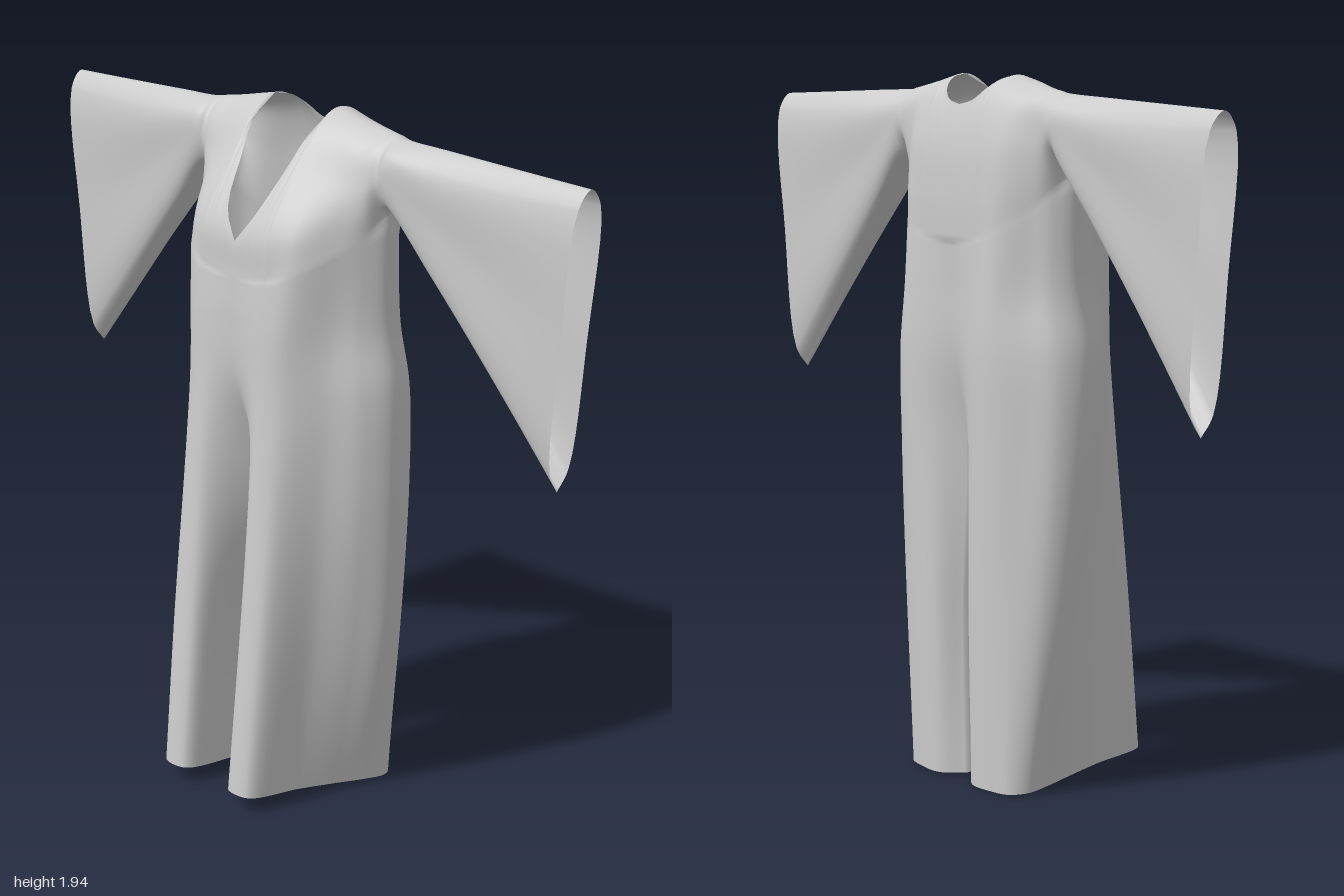
import * as THREE from 'three';

const fabric = new THREE.MeshStandardMaterial({ color: 0xcccccc, side: THREE.DoubleSide });
const V = (x, y, z) => new THREE.Vector3(x, y, z);
const lerp = THREE.MathUtils.lerp;

// Sample a smooth curve through points, hitting every control point.
function smooth(points, perSpan) {
  return new THREE.CatmullRomCurve3(points).getPoints((points.length - 1) * perSpan);
}

// Refine a coarse net of control points in both directions.
function refine(rows, perRow, perCol) {
  const wide = rows.map((r) => smooth(r, perCol));
  const columns = wide[0].map((_, j) => smooth(wide.map((r) => r[j]), perRow));
  return columns[0].map((_, i) => columns.map((c) => c[i]));
}

// Turn a grid of points into a cloth panel.
function panel(name, grid, flip = false) {
  const n = grid[0].length, index = [];
  for (let i = 0; i < grid.length - 1; i++) {
    for (let j = 0; j < n - 1; j++) {
      const a = i * n + j, b = a + 1, c = a + n, d = c + 1;
      if (flip) index.push(a, b, c, b, d, c);
      else index.push(a, c, b, b, c, d);
    }
  }
  const g = new THREE.BufferGeometry().setFromPoints(grid.flat());
  g.setIndex(index);
  g.computeVertexNormals();
  const mesh = new THREE.Mesh(g, fabric);
  mesh.name = name;
  return mesh;
}

// Share normals where panels meet, and level them on the centre seam.
function blendSeams(meshes) {
  const sums = new Map();
  const visit = (fn) => meshes.forEach(({ geometry: { attributes: { position, normal } } }) => {
    for (let i = 0; i < position.count; i++) {
      const p = V(0, 0, 0).fromBufferAttribute(position, i);
      fn(p.toArray().map((v) => Math.round(v * 1e4)).join(), p, normal, i);
    }
  });
  visit((key, p, normal, i) => {
    if (!sums.has(key)) sums.set(key, V(0, 0, 0));
    sums.get(key).add(V(0, 0, 0).fromBufferAttribute(normal, i));
  });
  visit((key, p, normal, i) => {
    const v = sums.get(key).clone().normalize();
    if (Math.abs(p.x) < 1e-4 && Math.abs(v.x) < .8) v.setX(0).normalize();
    normal.setXYZ(i, v.x, v.y, v.z);
  });
}

// Half outlines [x, z] from centre front round the side to centre back.
const outlines = [
  { y: 1.5, p: [[0, .145], [.125, .145], [.2, .122], [.28, .025], [.32, -.04], [.342, -.1],
    [.32, -.155], [.28, -.197], [.2, -.262], [.125, -.27], [0, -.265]] },
  { y: 1.38, p: [[0, .148], [.12, .156], [.19, .135], [.27, .035], [.318, -.025], [.345, -.095],
    [.325, -.16], [.28, -.205], [.2, -.272], [.12, -.275], [0, -.257]] },
  { y: 1.2, p: [[0, .135], [.11, .163], [.18, .145], [.272, .052], [.34, -.01], [.376, -.085],
    [.358, -.165], [.3, -.22], [.2, -.282], [.12, -.28], [0, -.248]] },
  { y: .94, p: [[0, .05], [.1, .178], [.178, .17], [.262, .055], [.335, -.015], [.376, -.095],
    [.358, -.172], [.295, -.225], [.2, -.276], [.1, -.268], [0, -.2]] },
  { y: .5, p: [[.07, .05], [.095, .215], [.18, .215], [.235, .06], [.292, -.035], [.335, -.12],
    [.32, -.185], [.26, -.235], [.18, -.265], [.08, -.26], [.025, -.2]] },
  { y: 0, p: [[.08, .05], [.092, .258], [.175, .258], [.203, .09], [.23, -.03], [.252, -.12],
    [.26, -.19], [.23, -.235], [.17, -.25], [.08, -.25], [.015, -.2]] },
];

// Shoulder sections [z, y] from chest over the shoulder to the back.
const shoulders = [
  { x: .125, p: [[.145, 1.5], [.135, 1.63], [.03, 1.8], [-.05, 1.905], [-.12, 1.94],
    [-.2, 1.91], [-.255, 1.78], [-.27, 1.63], [-.27, 1.5]] },
  { x: .2, p: [[.122, 1.533], [.1, 1.64], [.01, 1.78], [-.055, 1.885], [-.12, 1.925],
    [-.195, 1.89], [-.24, 1.78], [-.258, 1.64], [-.262, 1.533]] },
  { x: .28, p: [[.025, 1.59], [.01, 1.68], [-.02, 1.77], [-.058, 1.86], [-.13, 1.908],
    [-.185, 1.872], [-.203, 1.78], [-.203, 1.68], [-.197, 1.59]] },
  { x: .32, p: [[-.04, 1.64], [-.032, 1.7], [-.036, 1.77], [-.062, 1.855], [-.13, 1.901],
    [-.185, 1.862], [-.195, 1.78], [-.178, 1.7], [-.155, 1.64]] },
  { x: .342, p: [[-.1, 1.685], [-.068, 1.72], [-.048, 1.775], [-.066, 1.85], [-.13, 1.897],
    [-.185, 1.858], [-.193, 1.78], [-.15, 1.72], [-.1, 1.685]] },
];

// Slanted sleeve ring: s = 0 at the armpit, 1 at the cuff.
function sleeveRing(s) {
  const top = V(lerp(.37, 1, s), lerp(1.893, 1.868, s), 0);
  const bottom = V(lerp(.365, .92, s), lerp(1.693, 1.055, s), 0);
  const front = lerp(-.043, -.095, s), back = -.195;
  const mid = (front + back) / 2, half = (front - back) / 2;
  const low = lerp(.14, .07, s), high = lerp(.82, .94, s);
  const belly = lerp(1, .85, Math.sin(Math.PI * s));
  const side = [[0, 0], [low, .72], [.5, belly], [high, .85], [1, 0],
    [high, -.85], [.5, -belly], [low, -.72], [0, 0]];
  return side.map(([h, w]) => bottom.clone().lerp(top, h).setZ(mid + w * half));
}

function halfGarment() {
  // Shoulder running out into the wide hanging sleeve
  const stations = shoulders.map(({ x, p }) => p.map(([z, y]) => V(x, y, z)));
  for (const s of [0, .25, .5, .75, 1]) stations.push(sleeveRing(s));
  const sleeve = refine(stations, 12, 6);

  // Chest and back panels, trimmed along the V neckline
  const profile = new THREE.CatmullRomCurve3(stations[0]);
  const neck = [[0, .09, .18], [.055, .155, .168], [.09, .24, .135], [.113, .34, .075], [.125, .5, 0]];
  const cut = (x, from, to) => Array.from({ length: 9 }, (_, i) =>
    profile.getPoint(lerp(from, to, i / 8)).setX(x));
  const chest = refine(neck.map(([x, f]) => cut(x, 0, f)), 3, 3);
  const back = refine(neck.map(([x, , b]) => cut(x, .5 + b, 1)), 3, 3);
  chest[12] = sleeve[0].slice(0, 25);
  back[12] = sleeve[0].slice(24);

  // Torso and outer leg, sewn to the bottom edge of the panels above
  const body = refine(outlines.map(({ y, p }) => p.map(([x, z]) => {
    let h = y;
    if (y === 1.5) h += .18 * (x / .342) ** 3;
    if (y === 0) h = .05 * Math.max(0, z + .25) / .53;
    return V(x, h, z);
  })), 12, 12);
  const armpit = sleeve.slice(1, 49);
  body[0] = [
    ...chest.map((r) => r[0]), ...armpit.map((r) => r[0]),
    ...armpit.slice(0, -1).reverse().map((r) => r[48]), ...back.map((r) => r[24]).reverse(),
  ];

  // Inner leg, closing the trouser tube up to the crotch
  const inner = body.slice(36).map((row, i) => {
    const a = row[0], b = row[row.length - 1];
    const sag = .04 * Math.max(0, 1 - i / 6);
    const mids = [[.35, 1.4], [.7, .7]].map(([t, w]) => {
      const m = a.clone().lerp(b, t);
      return V(Math.min(a.x, b.x) * w, m.y - sag, m.z);
    });
    return smooth([a, ...mids, b], 5);
  });

  const half = new THREE.Group();
  half.add(
    panel('torsoAndLeg', body), panel('innerLeg', inner, true),
    panel('shoulderAndSleeve', sleeve), panel('chestPanel', chest), panel('upperBackPanel', back),
  );
  blendSeams(half.children);
  return half;
}

export function createModel() {
  const model = new THREE.Group();
  model.name = 'wideSleeveJumpsuit';
  const left = halfGarment();
  left.name = 'leftHalf';
  const right = halfGarment();
  right.name = 'rightHalf';
  right.scale.x = -1;
  model.add(left, right);
  return model;
}
